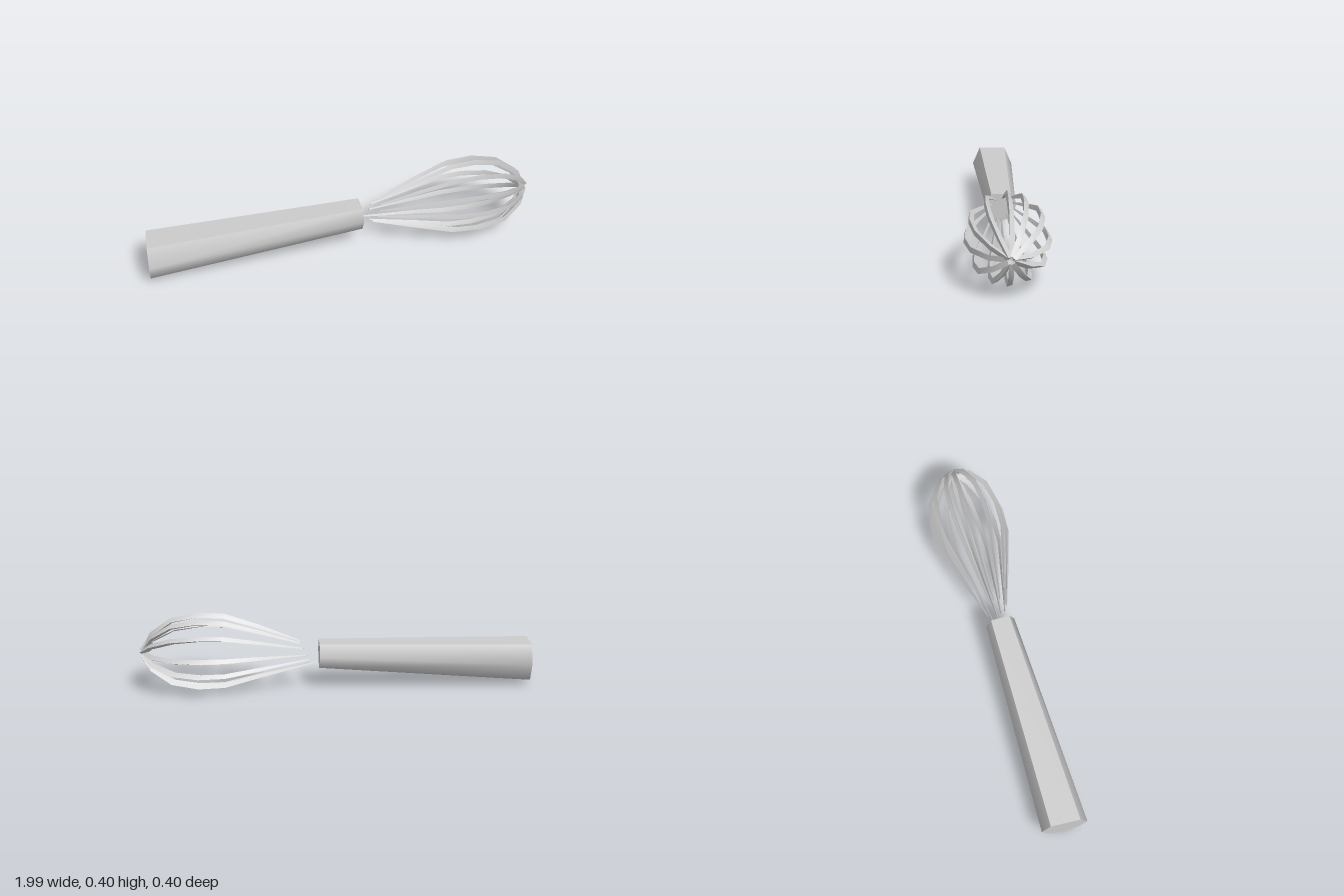
import * as THREE from 'three';
import { toCreasedNormals } from 'three/addons/utils/BufferGeometryUtils.js';

const material = new THREE.MeshStandardMaterial({ color: 0xcccccc, side: THREE.DoubleSide });

// Closed skin over a list of rings (arrays of Vector3 with equal length)
function loft(rings, crease) {
  const n = rings[0].length, pos = [], idx = [];
  rings.forEach(r => r.forEach(p => pos.push(p.x, p.y, p.z)));
  for (let i = 0; i < rings.length - 1; i++) {
    for (let j = 0; j < n; j++) {
      const a = i * n + j, b = i * n + (j + 1) % n;
      idx.push(a, b, a + n, b, b + n, a + n);
    }
  }
  const last = (rings.length - 1) * n;
  for (let j = 1; j < n - 1; j++) {
    idx.push(0, j + 1, j, last, last + j, last + j + 1);
  }
  const g = new THREE.BufferGeometry();
  g.setAttribute('position', new THREE.Float32BufferAttribute(pos, 3));
  g.setIndex(idx);
  return toCreasedNormals(g, crease);
}

// Handle section (z, y) of unit radius: pointed below, flat on top
const SECTION = [[0, -1], [-0.66, -0.75], [-1.03, 0.07], [-0.66, 0.94], [0.66, 0.94], [1.03, 0.07], [0.66, -0.75]];
const handleRing = (x, y, r, skew) =>
  SECTION.map(([z, h]) => new THREE.Vector3(x - skew * z, y + r * h, r * z));

// Wire profile: x, distance from the whisk axis, wire radius
const PROFILE = [
  [0.40, 0.130, 0.011],
  [0.57, 0.180, 0.014],
  [0.70, 0.186, 0.015],
  [0.83, 0.162, 0.015],
  [0.93, 0.092, 0.015],
  [0.965, 0.012, 0.014],
];
const axisY = x => 0.18 + 0.02 * Math.min(1, Math.max(0, (x - 0.1) / 0.5));

// Wires: angle around the axis in degrees, x where the wire begins
const WIRES = [
  [0, 0.17], [28, 0.18], [60, 0.19], [92, 0.19], [115, 0.19], [145, 0.18],
  [180, 0.16], [208, 0.15], [239, 0.10], [270, 0.14], [294, 0.15], [322, 0.15],
];

function wire([degrees, start], i) {
  const a = THREE.MathUtils.degToRad(degrees);
  const out = new THREE.Vector3(0, Math.sin(a), Math.cos(a));
  const side = new THREE.Vector3(0, Math.cos(a), -Math.sin(a));
  const points = [[start, 0.05 + (start - 0.1) * 0.1, 0.004], ...PROFILE];
  const tip = (i % 3) * 0.008;
  const centres = points.map(([x, r], k) =>
    new THREE.Vector3(x + (k === points.length - 1 ? tip : 0), axisY(x), 0).addScaledVector(out, r));
  const rings = centres.map((c, k) => {
    const tangent = centres[Math.min(k + 1, centres.length - 1)].clone()
      .sub(centres[Math.max(k - 1, 0)]).normalize();
    const normal = new THREE.Vector3().crossVectors(side, tangent);
    return [0, 1, 2].map(j => {
      const t = j * Math.PI * 2 / 3 + i * 0.5 + k * 0.12;
      return c.clone()
        .addScaledVector(side, points[k][2] * Math.cos(t))
        .addScaledVector(normal, -points[k][2] * Math.sin(t));
    });
  });
  return loft(rings, 0.9);
}

export function createModel() {
  const model = new THREE.Group();
  model.name = 'whisk';

  // Tapered handle, tilted up towards the wires, with a slightly skewed butt
  const handle = new THREE.Mesh(
    loft([handleRing(-0.993, 0.111, 0.111, 0.007), handleRing(0.092, 0.168, 0.073, 0)], 1.1), material);
  handle.name = 'handle';
  model.add(handle);

  // Balloon of twelve wires
  const balloon = new THREE.Group();
  balloon.name = 'balloon';
  WIRES.forEach((w, i) => {
    const m = new THREE.Mesh(wire(w, i), material);
    m.name = 'wire' + (i + 1);
    balloon.add(m);
  });
  model.add(balloon);
  return model;
}
